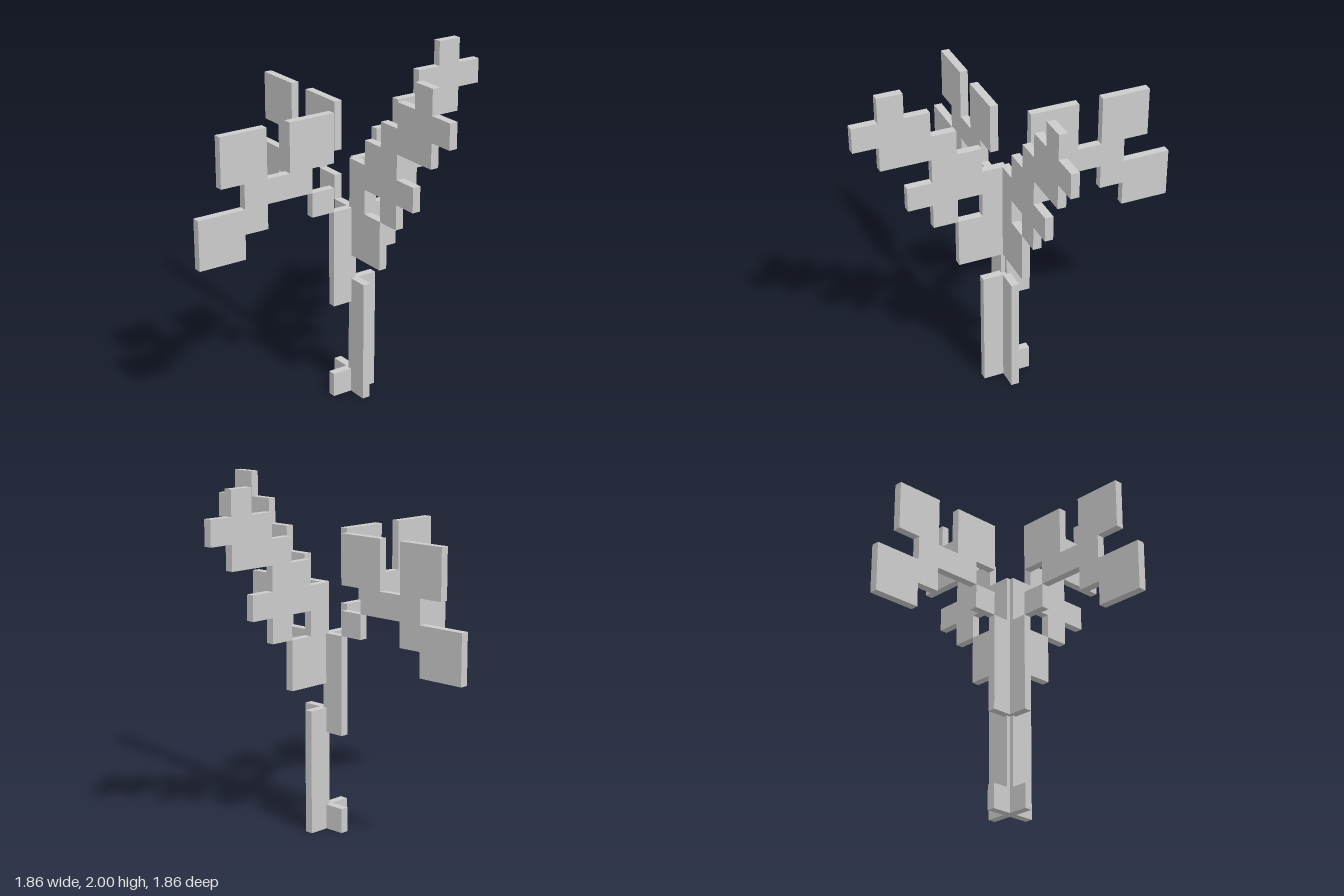
import * as THREE from 'three';

const CELL = 1 / 7;         // size of one square of the stepped outline
const THICKNESS = CELL / 3;
const AXIS = 7;             // grid column where the two panels cross

// Outlines in grid squares (column, row), counter-clockwise
const OUTLINES = {
  stem: [[6, 0], [8, 0], [8, 5], [7, 5], [7, 6], [9, 6], [9, 8], [6, 8], [6, 4], [7, 4], [7, 1], [6, 1]],
  tallBranch: [
    [7, 8], [8, 8], [8, 9], [9, 9], [9, 8], [10, 8], [10, 9], [11, 9], [11, 10], [10, 10], [10, 11],
    [12, 11], [12, 12], [13, 12], [13, 13], [12, 13], [12, 14], [11, 14], [11, 13], [10, 13],
    [10, 12], [9, 12], [9, 11], [8, 11], [8, 10], [7, 10],
  ],
  leafyBranch: [
    [0, 7], [2, 7], [2, 8], [3, 8], [3, 9], [5, 9], [5, 10], [6, 10], [6, 12], [4, 12],
    [4, 10], [3, 10], [3, 12], [1, 12], [1, 10], [2, 10], [2, 9], [0, 9],
  ],
  branchJoint: [[5, 8], [6, 8], [6, 9], [5, 9]],
};

const material = new THREE.MeshStandardMaterial({ color: 0xcccccc, flatShading: true });

// Extrude one outline into a thin plate centred on the crossing axis
function plate(name, outline) {
  const points = outline.map(([c, r]) => new THREE.Vector2((c - AXIS) * CELL, r * CELL));
  const geometry = new THREE.ExtrudeGeometry(new THREE.Shape(points), {
    depth: THICKNESS, bevelEnabled: false,
  });
  geometry.translate(0, 0, -THICKNESS / 2);
  const mesh = new THREE.Mesh(geometry, material);
  mesh.name = name;
  return mesh;
}

// A full plant silhouette made of plates
function panel(name, angle) {
  const group = new THREE.Group();
  group.name = name;
  for (const [part, outline] of Object.entries(OUTLINES)) group.add(plate(part, outline));
  group.position.set(CELL / 2, 0, CELL / 2);
  group.rotation.y = angle;
  return group;
}

export function createModel() {
  const model = new THREE.Group();
  model.name = 'crossedPlant';
  model.add(panel('widthPanel', 0));
  // The tall branch of the second panel points forward
  model.add(panel('depthPanel', -Math.PI / 2));
  return model;
}
